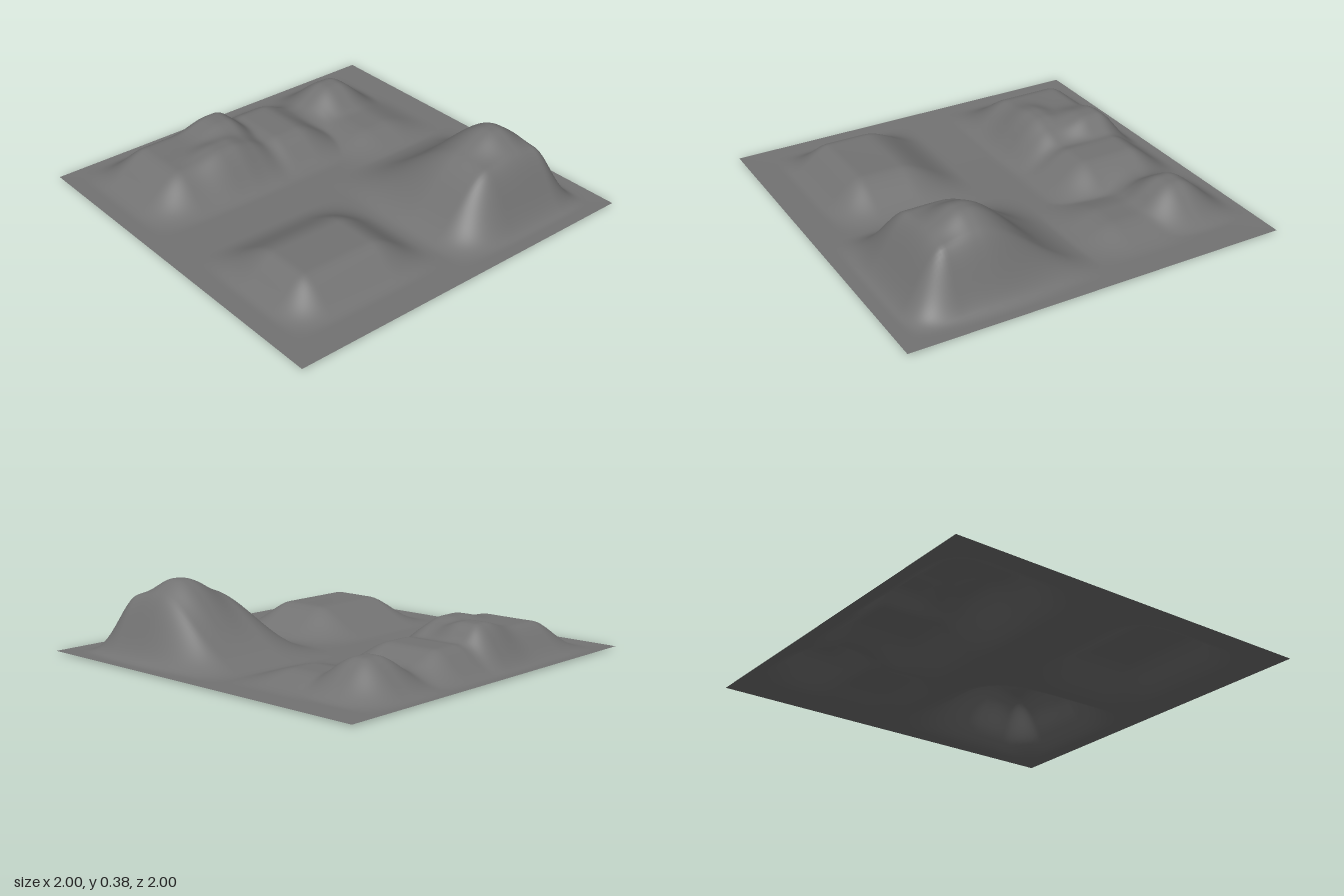
import * as THREE from 'three';

// Rises smoothly from a to b, stays level to c, falls smoothly to d.
function swell(t, [a, b, c, d]) {
  return THREE.MathUtils.smoothstep(t, a, b) * (1 - THREE.MathUtils.smoothstep(t, c, d));
}

// Each hill: height, then foot, top, top, foot across x and along z.
const hills = {
  peakBody: { height: 0.29, x: [0.02, 0.4, 0.72, 0.93], z: [-0.1, 0.5, 0.68, 0.93] },
  peakTop: { height: 0.358, x: [0.15, 0.58, 0.61, 0.95], z: [0, 0.51, 0.53, 0.92] },
  flatMound: { height: 0.134, x: [-0.9, -0.67, -0.29, 0.01], z: [0.05, 0.4, 0.61, 0.85] },
  broadMound: { height: 0.155, x: [-0.92, -0.62, -0.2, 0.08], z: [-0.96, -0.73, -0.45, -0.18] },
  forwardCrest: { height: 0.178, x: [-0.8, -0.38, -0.31, 0.02], z: [-0.75, -0.48, -0.44, -0.18] },
  rearCrest: { height: 0.193, x: [-0.62, -0.23, -0.18, 0.06], z: [-0.96, -0.73, -0.65, -0.32] },
  sideShoulder: { height: 0.13, x: [-0.3, 0, 0.12, 0.42], z: [-0.96, -0.72, -0.46, -0.18] },
  saddle: { height: 0.07, x: [0.1, 0.25, 0.4, 0.5], z: [-0.95, -0.7, -0.65, -0.3] },
  roundKnoll: { height: 0.163, x: [0.22, 0.52, 0.58, 0.84], z: [-0.97, -0.7, -0.66, -0.36] },
  lowShelf: { height: 0.06, x: [0.2, 0.5, 0.6, 0.87], z: [-0.7, -0.45, -0.31, -0.05] },
};

// Soft maximum of the hills over an almost flat ground.
function heightAt(x, z) {
  let sum = 0;
  for (const hill of Object.values(hills)) {
    sum += (hill.height * swell(x, hill.x) * swell(z, hill.z)) ** 5;
  }
  return 0.008 * Math.max(x * x, z * z) + sum ** 0.2;
}

export function createModel() {
  const group = new THREE.Group();
  group.name = 'hillyTerrain';

  // one sheet, raised into hills
  const geometry = new THREE.PlaneGeometry(2, 2, 140, 140).rotateX(-Math.PI / 2);
  const position = geometry.attributes.position;
  for (let i = 0; i < position.count; i++) {
    position.setY(i, heightAt(position.getX(i), position.getZ(i)));
  }
  geometry.computeVertexNormals();

  const material = new THREE.MeshStandardMaterial({ color: 0x737373, side: THREE.DoubleSide });
  const terrain = new THREE.Mesh(geometry, material);
  terrain.name = 'terrainSurface';
  group.add(terrain);
  return group;
}
